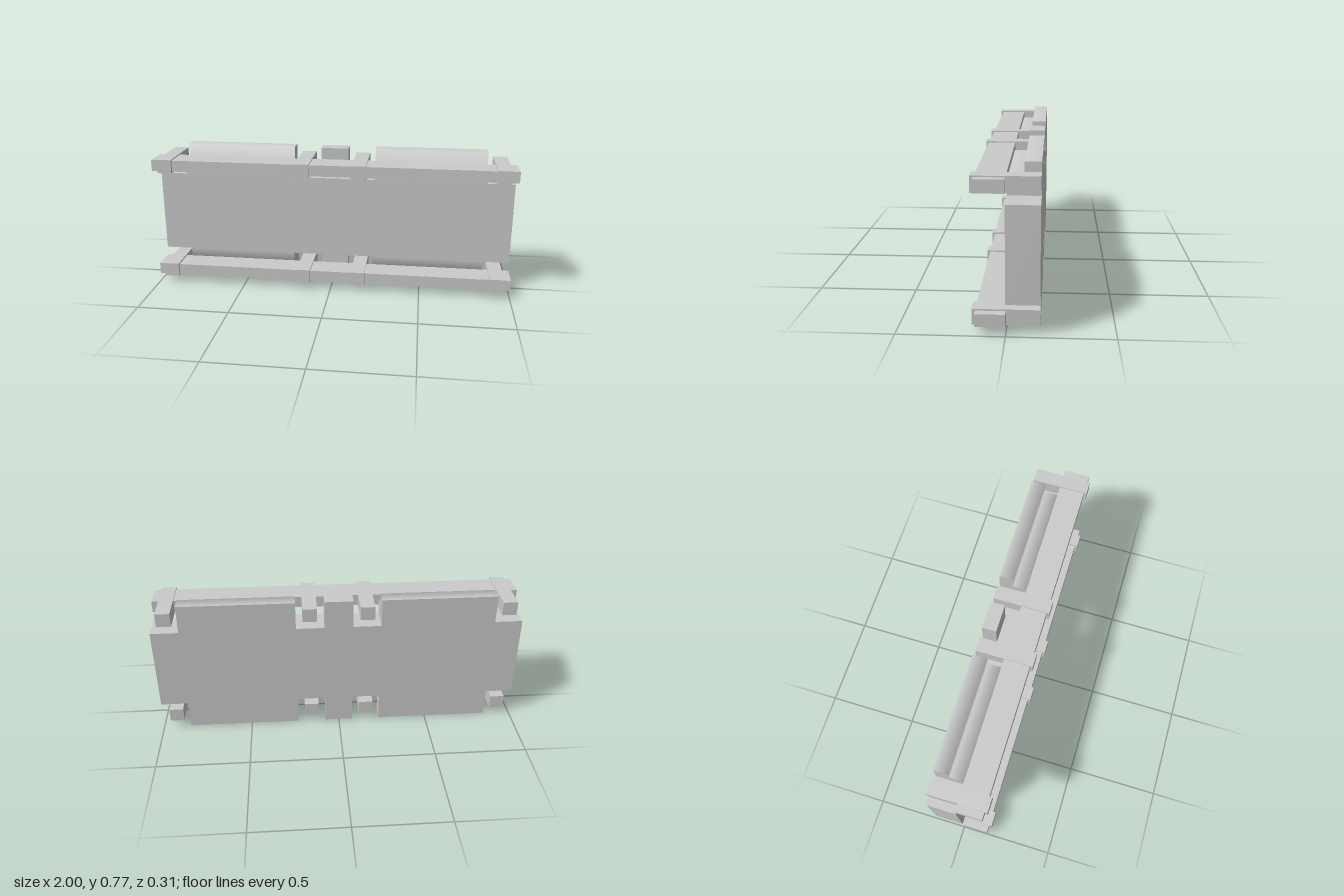
import * as THREE from 'three';

const HEIGHT = 0.77, BACK = -0.155, STEP = -0.077;
const FLOOR = 0.615 - HEIGHT / 2; // top of the core, measured from mid height
const TOP = HEIGHT / 2;
const LEDGE = FLOOR + 0.077;
const material = new THREE.MeshStandardMaterial({ color: 0xcccccc });

// Box given by its minimum and maximum corners
function box(name, [x0, y0, z0], [x1, y1, z1]) {
  const geometry = new THREE.BoxGeometry(x1 - x0, y1 - y0, z1 - z0);
  geometry.translate((x0 + x1) / 2, (y0 + y1) / 2, (z0 + z1) / 2);
  const mesh = new THREE.Mesh(geometry, material);
  mesh.name = name;
  return mesh;
}

// Stepped tab whose front and top shade softly into each other
function steppedTab(x0, x1) {
  // z, y, and the shading normal's z and y
  const profile = [
    [0, FLOOR, 1, 0],
    [0, LEDGE, 0.7, 0.7],
    [STEP, LEDGE, 0, 1],
    [STEP, TOP, 0.7, 0.7],
    [BACK, TOP, 0, 1],
  ];
  const shape = new THREE.Shape();
  shape.moveTo(-BACK, FLOOR);
  for (const [z, y] of profile) shape.lineTo(-z, y);
  const geometry = new THREE.ExtrudeGeometry(shape, { depth: x1 - x0, bevelEnabled: false });
  geometry.rotateY(Math.PI / 2).translate(x0, 0, 0);

  // Soften only the faces that look forward or up
  const position = geometry.attributes.position, normal = geometry.attributes.normal;
  for (let i = 0; i < position.count; i++) {
    if (normal.getZ(i) < 0.5 && normal.getY(i) < 0.5) continue;
    const point = profile.find(([z, y]) =>
      Math.hypot(z - position.getZ(i), y - position.getY(i)) < 0.001);
    if (point) {
      const length = Math.hypot(point[2], point[3]);
      normal.setXYZ(i, 0, point[3] / length, point[2] / length);
    }
  }
  const mesh = new THREE.Mesh(geometry, material);
  mesh.name = 'steppedTab';
  return mesh;
}

// One long edge: tabs, rail and the clips that wrap the rail
function createEdge(name) {
  const edge = new THREE.Group();
  edge.name = name;
  edge.add(steppedTab(-0.85, -0.23), steppedTab(0.23, 0.85));
  edge.add(box('centreTab', [-0.077, FLOOR, BACK], [0.077, TOP, STEP]));
  edge.add(box('rail', [-1, 0.278, 0], [1, 0.34, 0.14]));
  for (const x of [-0.922, -0.155, 0.155, 0.922]) {
    edge.add(box('clip', [x - 0.039, 0.27, BACK], [x + 0.039, 0.346, 0.155]));
  }
  return edge;
}

export function createModel() {
  const model = new THREE.Group();
  model.name = 'panelWithRails';
  model.add(box('core', [-1, 0.155, BACK], [1, 0.615, 0]));

  // The lower edge is the upper one turned half way round
  const upper = createEdge('upperEdge');
  const lower = createEdge('lowerEdge');
  lower.rotation.z = Math.PI;
  upper.position.y = lower.position.y = HEIGHT / 2;
  model.add(upper, lower);
  return model;
}
